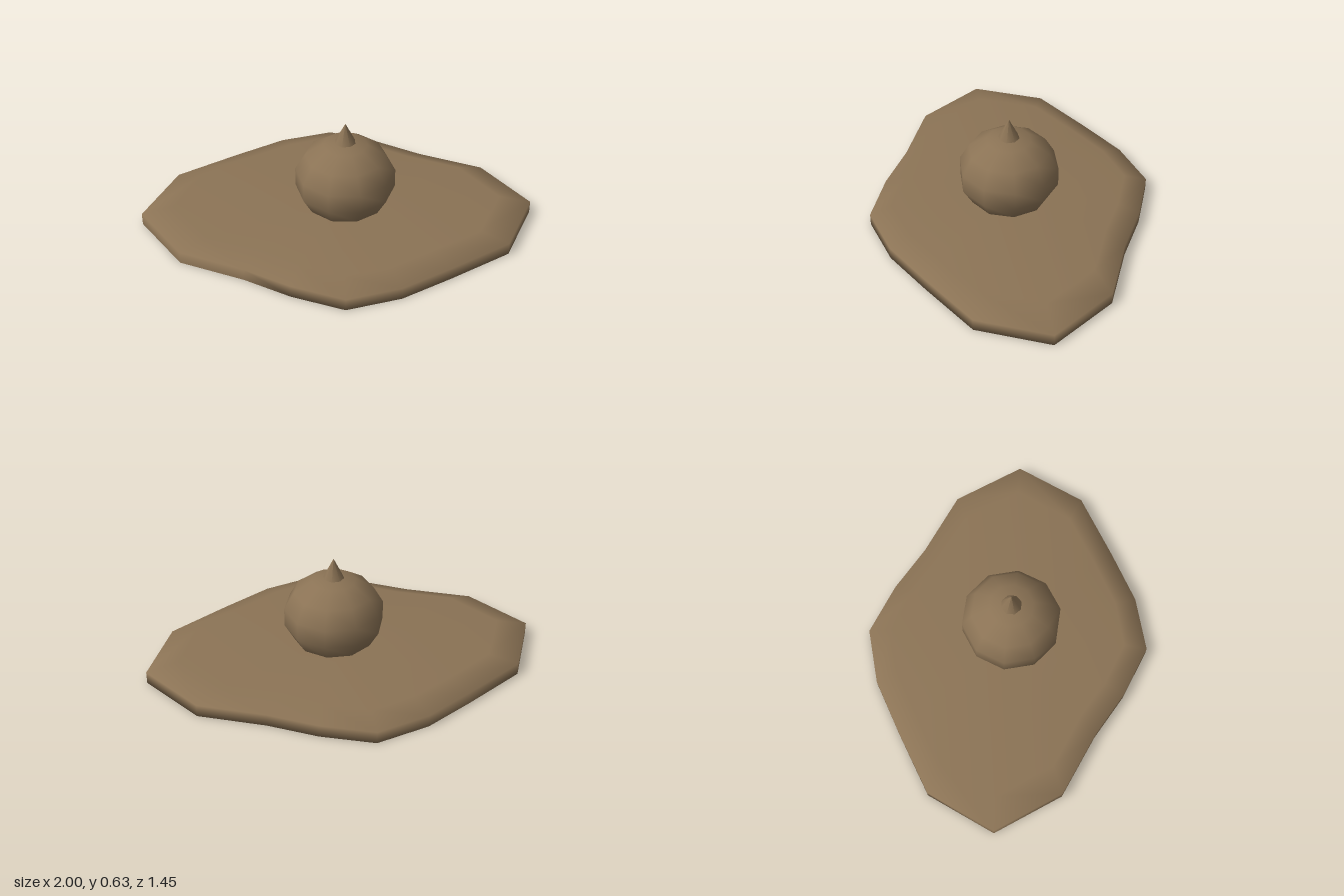
import * as THREE from 'three';

// Slab outline radii every 22.5 degrees; the half outline repeats on the other side
const RADII = [0.975, 0.8, 0.77, 0.785, 0.72, 0.731, 0.928, 1.083];
const N = 16;

// Rock slab: upright rim, bevelled edge, slightly domed top, partly open underside
function slabGeometry() {
  const pos = [], idx = [];
  const rings = [[1, 0], [1, 0.068], [0.835, 0.113]];
  for (const [scale, y] of rings) {
    for (let i = 0; i < N; i++) {
      const a = (i / N) * Math.PI * 2, r = RADII[i % 8] * scale;
      pos.push(r * Math.cos(a), y, r * Math.sin(a));
    }
  }
  const centre = pos.length / 3;
  pos.push(0, 0.122, 0);
  for (let i = 0; i < N; i++) {
    const j = (i + 1) % N;
    for (let k = 0; k < 2; k++) {
      const a = k * N + i, b = k * N + j;
      idx.push(a, a + N, b + N, a, b + N, b);
    }
    idx.push(centre, 2 * N + j, 2 * N + i);
  }
  // Underside fan, leaving one corner open
  for (let i = 9; i < N + 4; i++) idx.push(8, i % N, (i + 1) % N);
  const geo = new THREE.BufferGeometry();
  geo.setAttribute('position', new THREE.Float32BufferAttribute(pos, 3));
  geo.setIndex(idx);
  geo.computeVertexNormals();
  return geo;
}

export function createModel() {
  const model = new THREE.Group();
  const stone = new THREE.MeshStandardMaterial({ color: 0x8b7355, side: THREE.DoubleSide });
  stone.name = 'brown stone';

  const add = (name, geometry, x, y) => {
    const mesh = new THREE.Mesh(geometry, stone);
    mesh.name = name;
    mesh.position.set(x, y, 0);
    model.add(mesh);
    return mesh;
  };

  add('slab', slabGeometry(), 0, 0);

  // Squashed ball resting in the slab
  const ball = new THREE.SphereGeometry(0.279, 10, 7);
  ball.rotateY(Math.PI / 2);
  ball.scale(1, 0.236 / 0.279, 1);
  add('ball', ball, 0.045, 0.2875);

  // Small pointed tip on the ball
  add('tip', new THREE.ConeGeometry(0.057, 0.114, 8), 0.045, 0.573);

  return model;
}
